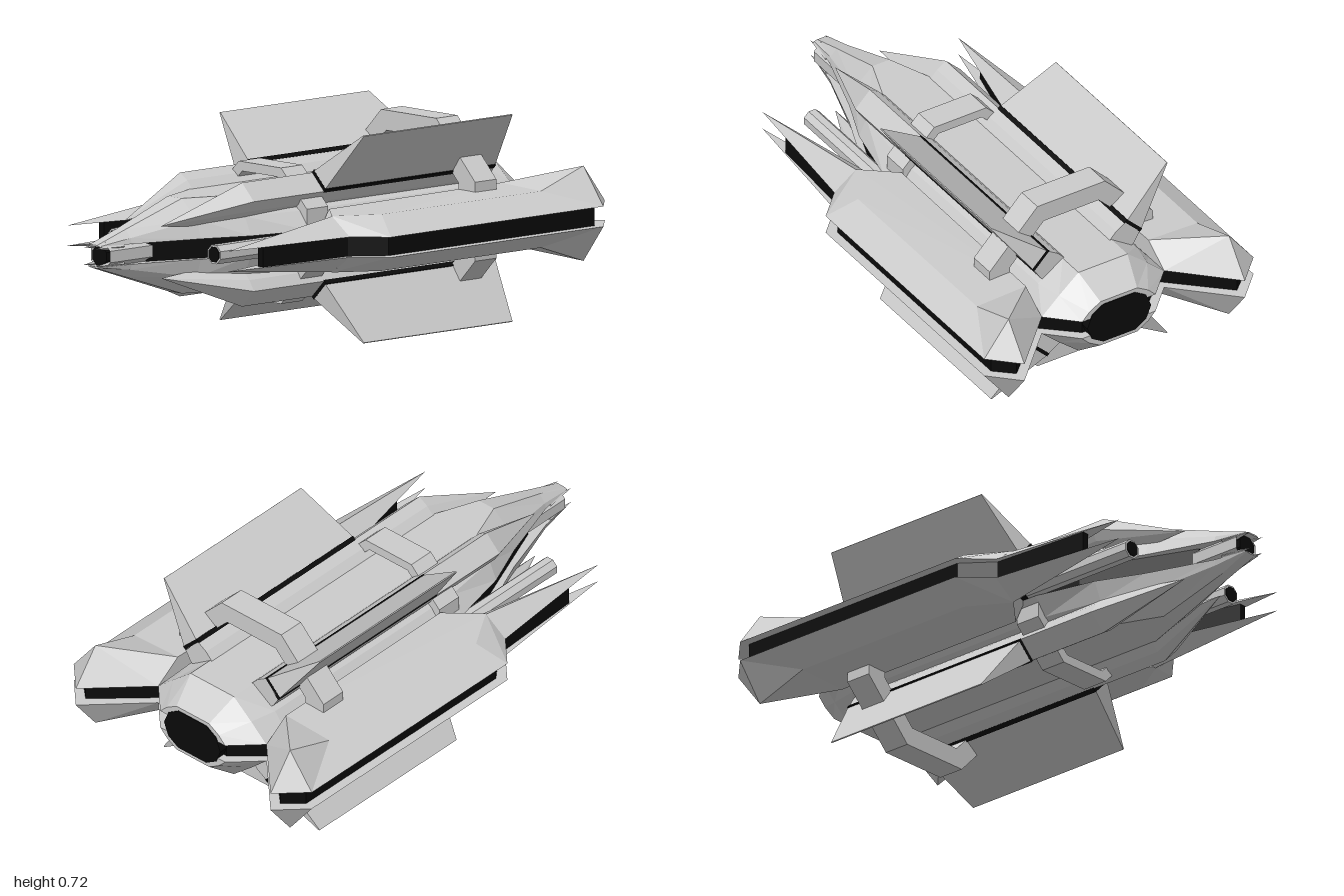
import * as THREE from 'three';

const CY = 0.3625; // height of the horizontal symmetry plane
const grey = new THREE.MeshStandardMaterial({ color: 0xcccccc, flatShading: true, side: THREE.DoubleSide });
const black = new THREE.MeshStandardMaterial({ color: 0x0a0a0a, flatShading: true, side: THREE.DoubleSide });

// Skins equal-length rings of [x, y, z] points, closes both ends, and turns faces outward.
function loft(rings) {
  const tris = [];
  const n = rings[0].length;
  for (let k = 0; k + 1 < rings.length; k++) {
    const a = rings[k], b = rings[k + 1];
    for (let i = 0; i < n; i++) {
      const j = (i + 1) % n;
      tris.push([a[i], a[j], b[j]], [a[i], b[j], b[i]]);
    }
  }
  const first = rings[0], last = rings[rings.length - 1];
  for (let i = 1; i + 1 < n; i++) {
    tris.push([first[0], first[i + 1], first[i]], [last[0], last[i], last[i + 1]]);
  }
  const v = p => new THREE.Vector3(...p);
  const volume = tris.reduce((s, [a, b, c]) => s + v(a).dot(v(b).cross(v(c))), 0);
  const out = tris
    .filter(([a, b, c]) => v(b).sub(v(a)).cross(v(c).sub(v(a))).length() > 1e-9)
    .flatMap(([a, b, c]) => (volume < 0 ? [a, c, b] : [a, b, c]));
  const g = new THREE.BufferGeometry();
  g.setAttribute('position', new THREE.Float32BufferAttribute(out.flat(), 3));
  g.computeVertexNormals();
  return g;
}

export function createModel() {
  const model = new THREE.Group();
  model.name = 'spaceship';

  function add(name, geometry, material = grey) {
    const mesh = new THREE.Mesh(geometry, material);
    mesh.name = name;
    model.add(mesh);
    return mesh;
  }
  // Repeats a loft above/below and, if asked, left/right. Heights are relative to CY.
  function addMirrored(name, rings, material = grey, sides = [1, -1]) {
    for (const sx of sides) for (const sy of [1, -1]) {
      add(name, loft(rings.map(r => r.map(([x, y, z]) => [sx * x, CY + sy * y, z]))), material);
    }
  }

  // Central hull shells: z, base half width, shoulder x/y, top half width, top y
  const B = 0.035;
  const hull = [
    [0.98, 0.03, 0.028, 0.037, 0.015, 0.04],
    [0.85, 0.05, 0.045, 0.055, 0.02, 0.083],
    [0.6, 0.13, 0.11, 0.10, 0.035, 0.165],
    [0.43, 0.2, 0.17, 0.10, 0.1, 0.165],
    [0.2, 0.25, 0.2, 0.098, 0.1, 0.165],
    [-0.7, 0.25, 0.2, 0.098, 0.1, 0.165],
    [-0.8, 0.25, 0.18, 0.098, 0.1, 0.165],
    [-0.9, 0.15, 0.12, 0.065, 0.075, 0.092],
  ].map(([z, w, s, sy, t, ty]) => [
    [-w, B, z], [-s, sy, z], [-t, ty, z], [t, ty, z], [s, sy, z], [w, B, z],
  ]);
  addMirrored('hullShell', hull, grey, [1]);

  // Side wing shells with a raised corner at the rear
  const wingBase = [[0.25, -0.8], [0.45, -1], [0.55, -0.9], [0.55, -0.7], [0.55, 0.1], [0.45, 0.2], [0.24, 0.14]]
    .map(([x, z]) => [x, B, z]);
  const wingCrown = [
    [0.25, 0.105, -0.7], [0.45, 0.165, -0.9], [0.45, 0.165, -0.9], [0.45, 0.098, -0.7],
    [0.45, 0.098, 0.05], [0.36, 0.098, 0.2], [0.24, 0.098, 0.1],
  ];
  addMirrored('wingShell', [wingBase, wingCrown]);

  // Forward wing prongs
  const prongTip = [0.4, B, 0.73];
  addMirrored('wingProng', [
    [[0.26, B, 0.1], [0.36, 0.098, 0.19], [0.45, B, 0.2]],
    [prongTip, prongTip, prongTip],
  ]);

  // Dark slab sandwiched between the upper and lower shells
  const half = [
    [0.04, 0.77], [0.2, 0.36], [0.23, 0.16], [0.29, 0.18], [0.385, 0.57], [0.41, 0.57], [0.43, 0.19],
    [0.515, 0.08], [0.515, -0.89], [0.45, -0.95], [0.25, -0.76], [0.13, -0.87],
  ];
  const outline = [...half, ...half.map(([x, z]) => [-x, z]).reverse()];
  const slab = new THREE.ExtrudeGeometry(
    new THREE.Shape(outline.map(([x, z]) => new THREE.Vector2(x, -z))),
    { depth: 2 * B, bevelEnabled: false });
  slab.rotateX(-Math.PI / 2).translate(0, CY - B, 0);
  add('darkBand', slab, black);

  // Exhaust at the rear
  const exhaust = z => [[0.13, 0], [0.11, 0.05], [0.065, 0.078], [-0.065, 0.078], [-0.11, 0.05], [-0.13, 0],
    [-0.11, -0.05], [-0.065, -0.078], [0.065, -0.078], [0.11, -0.05]].map(([x, y]) => [x, CY + y, z]);
  add('exhaust', loft([exhaust(-0.85), exhaust(-0.903)]), black);

  // Eight-sided barrels lying along z
  function barrel(name, x, r, z0, z1, material = grey, open = false) {
    const g = new THREE.CylinderGeometry(r, r, z1 - z0, 8, 1, open);
    g.rotateY(Math.PI / 8).rotateX(Math.PI / 2).translate(x, CY, (z0 + z1) / 2);
    add(name, g, material);
  }
  barrel('noseTube', 0, 0.052, 0.72, 0.95, grey, true);
  barrel('noseCore', 0, 0.038, 0.72, 0.955, black);
  for (const sx of [1, -1]) {
    barrel('cannon', sx * 0.25, 0.035, 0.05, 0.65);
    barrel('cannonMuzzle', sx * 0.25, 0.028, 0.6, 0.653, black);
    for (const sy of [1, -1]) {
      const tooth = new THREE.ConeGeometry(0.018, 0.12, 4);
      tooth.rotateX(Math.PI / 2).translate(sx * 0.03, CY + sy * 0.03, 0.94);
      add('noseTooth', tooth);
    }
  }

  // Diagonal parts: u runs across the diagonal, r outward along it
  const diag = (u, r, z) => [(r + u) * Math.SQRT1_2, (r - u) * Math.SQRT1_2, z];
  const railSection = [[-0.042, 0.262], [0.042, 0.262], [0.052, 0.22], [0.05, 0.13], [-0.05, 0.13], [-0.052, 0.22]];
  const railAt = z => railSection.map(([u, r]) => diag(u, r, z));
  addMirrored('finRail', [railAt(-0.7), railAt(0.43), railSection.map(() => diag(0, 0.128, 0.75))]);

  const plate = (u, r, z0, z1) => [diag(-u, r, z0), diag(u, r, z0), diag(u, r, z1), diag(-u, r, z1)];
  addMirrored('finBand', [plate(0.044, 0.258, -0.7, 0.1), plate(0.044, 0.275, -0.7, 0.1)], black);
  addMirrored('fin', [plate(0.04, 0.274, -0.7, 0.1), plate(0.002, 0.508, -0.65, 0.05)]);

  // Octagonal frames around the hull
  function frame(name, outer, inner, z0, z1) {
    const loop = ([tx, ty, sx, sy]) => [[tx, ty], [sx, sy], [sx, -sy], [tx, -ty], [-tx, -ty], [-sx, -sy], [-sx, sy], [-tx, ty]]
      .map(([x, y]) => new THREE.Vector2(x, CY + y));
    const shape = new THREE.Shape(loop(outer));
    shape.holes.push(new THREE.Path(loop(inner)));
    const g = new THREE.ExtrudeGeometry(shape, { depth: z1 - z0, bevelEnabled: false });
    add(name, g.translate(0, 0, z0));
  }
  frame('rearFrame', [0.138, 0.337, 0.333, 0.137], [0.112, 0.267, 0.25, 0.125], -0.6, -0.5);
  frame('frontFrame', [0.106, 0.236, 0.235, 0.107], [0.088, 0.203, 0.205, 0.09], 0.1, 0.2);

  return model;
}
